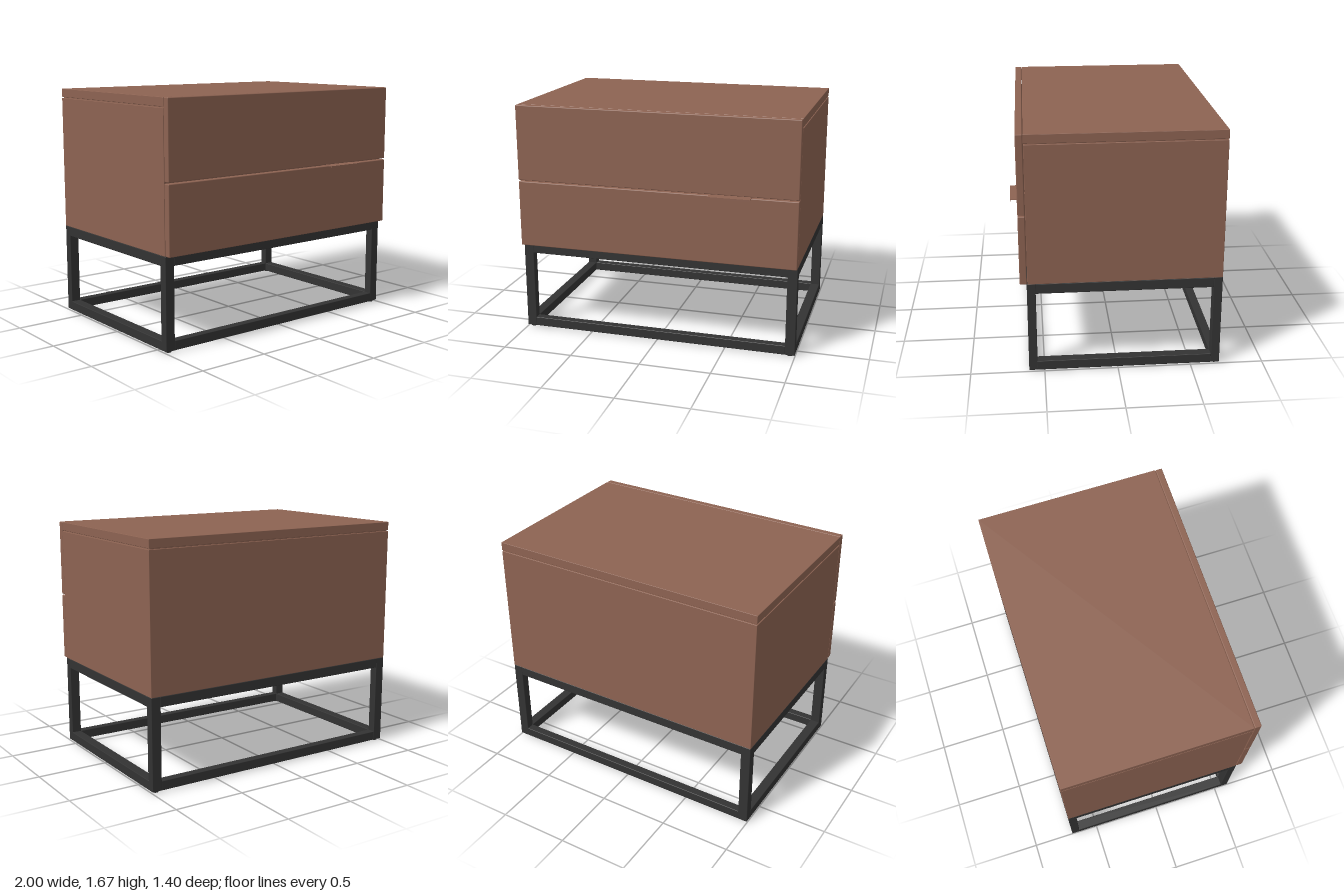
import * as THREE from 'three';
import { RoundedBoxGeometry } from 'three/addons/geometries/RoundedBoxGeometry.js';

export function createModel() {
  const group = new THREE.Group();
  const wood = new THREE.MeshStandardMaterial({ color: 0x8d6352 });
  wood.name = 'brown wood';
  const metal = new THREE.MeshStandardMaterial({ color: 0x333333 });
  metal.name = 'black metal';

  const add = (name, geometry, material, x, y, z) => {
    const mesh = new THREE.Mesh(geometry, material);
    mesh.name = name;
    mesh.position.set(x, y, z);
    group.add(mesh);
  };
  // Box given by its lower and upper limits, with an optional rounded edge
  const box = (name, material, [x0, x1], [y0, y1], [z0, z1], radius = 0) => {
    const size = [x1 - x0, y1 - y0, z1 - z0];
    const geometry = radius
      ? new RoundedBoxGeometry(...size, 2, radius)
      : new THREE.BoxGeometry(...size);
    add(name, geometry, material, (x0 + x1) / 2, (y0 + y1) / 2, (z0 + z1) / 2);
  };

  // Cabinet: body, recessed joint and top board
  box('cabinetBody', wood, [-1, 1], [0.65, 1.603], [-0.7, 0.6], 0.003);
  box('topJoint', wood, [-0.99, 0.99], [1.6, 1.612], [-0.69, 0.59]);
  box('topBoard', wood, [-1, 1], [1.61, 1.67], [-0.7, 0.6], 0.003);

  // Drawer fronts, separated by a narrow gap
  box('lowerDrawerFront', wood, [-1, 1], [0.65, 1.125], [0.603, 0.65], 0.006);
  box('upperDrawerFront', wood, [-1, 1], [1.134, 1.67], [0.603, 0.65], 0.006);

  // Pull tab with a small downturned lip
  box('handleTab', wood, [0.39, 0.68], [1.125, 1.129], [0.603, 0.7]);
  box('handleLip', wood, [0.39, 0.68], [1.117, 1.125], [0.696, 0.7]);

  // Frame: four posts with feet
  for (const side of [-1, 1]) {
    for (const [z0, z1] of [[-0.7, -0.64], [0.547, 0.605]]) {
      const xs = side < 0 ? [-1, -0.93] : [0.93, 1];
      box('post', metal, xs, [0.01, 0.65], [z0, z1], 0.004);
      add('foot', new THREE.CylinderGeometry(0.02, 0.02, 0.012, 20), metal,
        side * 0.963, 0.006, (z0 + z1) / 2);
    }
  }
  // Frame: lower and upper rails
  for (const ys of [[0.01, 0.076], [0.58, 0.65]]) {
    for (const zs of [[-0.7, -0.64], [0.547, 0.605]]) {
      box('longRail', metal, [-0.932, 0.932], ys, zs, 0.004);
    }
    for (const xs of [[-1, -0.93], [0.93, 1]]) {
      box('sideRail', metal, xs, ys, [-0.642, 0.549], 0.004);
    }
  }
  return group;
}
